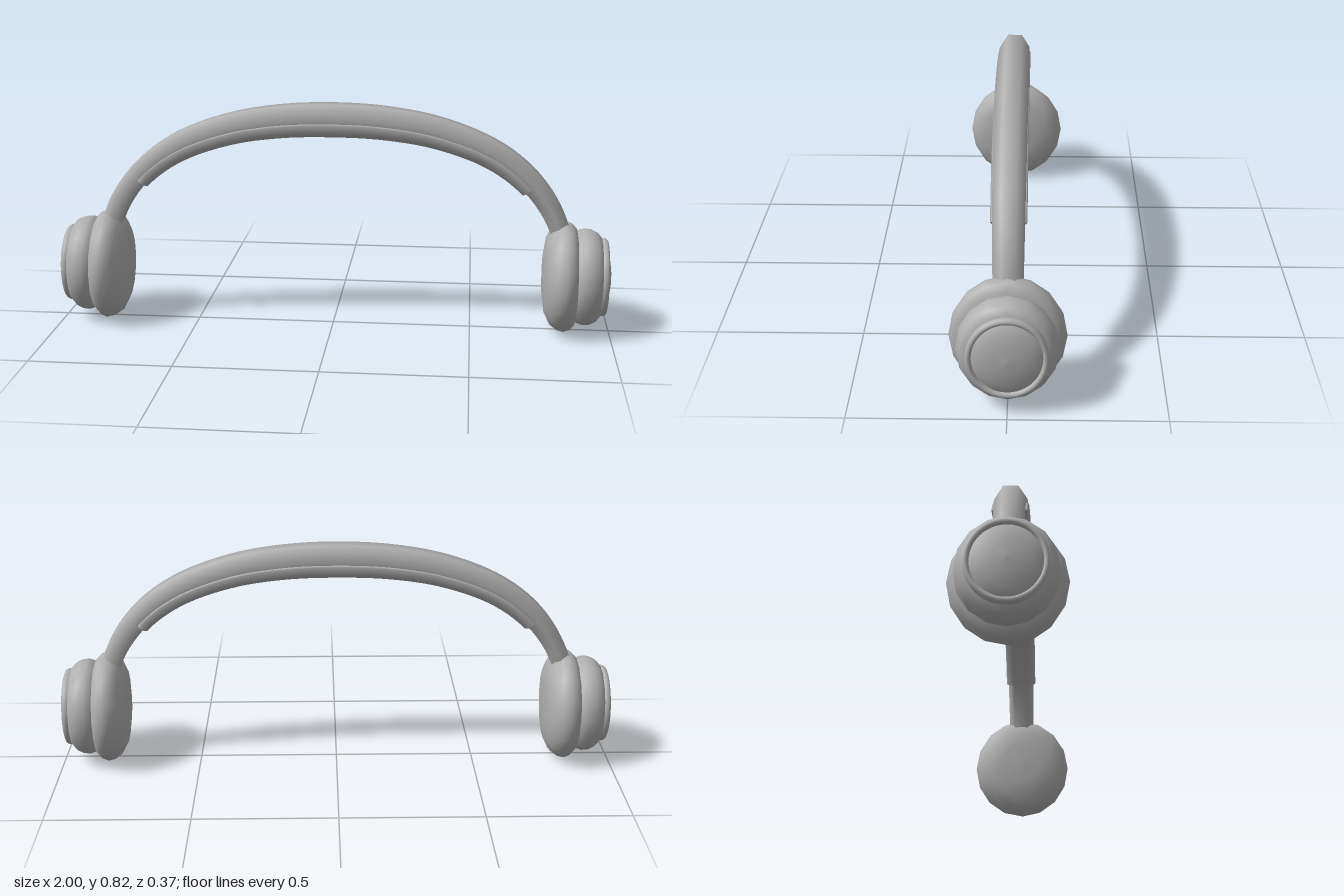
import * as THREE from 'three';

// Outer edge of the right-hand half of the headband, from the crown down into the cup
const HALF = [[0.2, 0.806], [0.39, 0.77], [0.58, 0.695], [0.71, 0.6], [0.8, 0.485], [0.85, 0.37], [0.866, 0.29]];
const ARC = new THREE.CatmullRomCurve3([
  ...HALF.slice().reverse().map(([x, y]) => new THREE.Vector3(-x, y, 0)),
  new THREE.Vector3(0, 0.817, 0),
  ...HALF.map(([x, y]) => new THREE.Vector3(x, y, 0)),
]);

// Sweep a section of [depth below the outer edge, z] along the arc, slimming toward the ends
function sweep(section, t0, t1, steps, narrowing) {
  const n = section.length, pos = [], idx = [];
  for (let i = 0; i <= steps; i++) {
    const t = t0 + (t1 - t0) * i / steps;
    const u = Math.abs(2 * t - 1);
    const p = ARC.getPointAt(t), tan = ARC.getTangentAt(t);
    const k = 1 - 0.35 * Math.pow(u, 1.5), w = 1 - narrowing * u * u;
    for (const [d, z] of section) pos.push(p.x + tan.y * d * k, p.y - tan.x * d * k, z * w);
  }
  for (let i = 0; i < steps; i++) {
    for (let j = 0; j < n; j++) {
      const a = i * n + j, c = i * n + (j + 1) % n;
      idx.push(a, c, a + n, c, c + n, a + n);
    }
  }
  // end caps with their own vertices so the rims stay crisp
  for (const end of [0, steps]) {
    const base = pos.length / 3;
    pos.push(...pos.slice(end * n * 3, (end + 1) * n * 3));
    for (let j = 1; j < n - 1; j++) {
      if (end) idx.push(base, base + j, base + j + 1);
      else idx.push(base, base + j + 1, base + j);
    }
  }
  const g = new THREE.BufferGeometry();
  g.setAttribute('position', new THREE.Float32BufferAttribute(pos, 3));
  g.setIndex(idx);
  g.computeVertexNormals();
  return g;
}

// Mirror half a section across z
const fullSection = (half) => [...half, ...half.slice().reverse().map(([d, z]) => [d, -z])];

// Turned shape along +x from [distance, radius] pairs, slightly oval
function turned(profile, sides) {
  const g = new THREE.LatheGeometry(profile.map(([x, r]) => new THREE.Vector2(r, x)), sides);
  return g.rotateZ(-Math.PI / 2).scale(1, 1, 0.92);
}

export function createModel() {
  const model = new THREE.Group();
  model.name = 'headphones';
  const grey = new THREE.MeshStandardMaterial({ color: 0xb0b0b0 });
  grey.name = 'grey';
  const add = (parent, name, geometry) => {
    const mesh = new THREE.Mesh(geometry, grey);
    mesh.name = name;
    parent.add(mesh);
    return mesh;
  };

  // Headband and the pad under it
  add(model, 'headband', sweep(fullSection([[0, 0.027], [0.05, 0.057], [0.1, 0.03]]), 0, 1, 64, 0.18));
  add(model, 'headbandPad',
    sweep(fullSection([[0.066, 0.054], [0.07, 0.06], [0.098, 0.056], [0.116, 0.03]]), 0.137, 0.863, 48, 0.05));

  // Ear cups: cushion, shell, rim ring and domed cover
  const cushion = turned([[0.755, 0], [0.757, 0.08], [0.766, 0.14], [0.785, 0.178], [0.81, 0.197],
    [0.834, 0.203], [0.856, 0.195], [0.872, 0.178], [0.878, 0.15]], 16);
  const shell = turned([[0.865, 0.15], [0.878, 0.168], [0.9, 0.176], [0.925, 0.174],
    [0.948, 0.163], [0.962, 0.145], [0.967, 0.12]], 16);
  const ring = turned(Array.from({ length: 13 }, (_, i) => {
    const a = -Math.PI / 2 - i / 12 * Math.PI * 2;
    return [0.971 - 0.014 * Math.cos(a), 0.13 + 0.011 * Math.sin(a)];
  }).reverse(), 48);
  const cover = turned([[0.968, 0.124], [0.978, 0.118], [0.99, 0.085], [0.997, 0.045], [1, 0]], 48);
  // the ring profile must run outward-facing around its tube
  const ringFaces = ring.index.array, p = ring.attributes.position, nrm = ring.attributes.normal;
  const [a, b, c] = [0, 1, 2].map((i) => new THREE.Vector3().fromBufferAttribute(p, ringFaces[36 + i]));
  const face = b.clone().sub(a).cross(c.clone().sub(a));
  const centre = new THREE.Vector3(0, a.y, a.z / 0.92).setLength(0.13).setX(0.971);
  centre.z *= 0.92;
  if (face.dot(a.clone().sub(centre)) < 0) {
    for (let i = 0; i < ringFaces.length; i += 3) {
      [ringFaces[i], ringFaces[i + 1]] = [ringFaces[i + 1], ringFaces[i]];
    }
    for (let i = 0; i < nrm.count; i++) nrm.setXYZ(i, -nrm.getX(i), -nrm.getY(i), -nrm.getZ(i));
  }

  for (const side of ['left', 'right']) {
    const cup = new THREE.Group();
    cup.name = side + 'EarCup';
    add(cup, 'earCushion', cushion);
    add(cup, 'earShell', shell);
    add(cup, 'rimRing', ring);
    add(cup, 'domedCover', cover);
    cup.position.y = 0.203;
    if (side === 'right') cup.rotation.y = Math.PI;
    model.add(cup);
  }
  return model;
}
